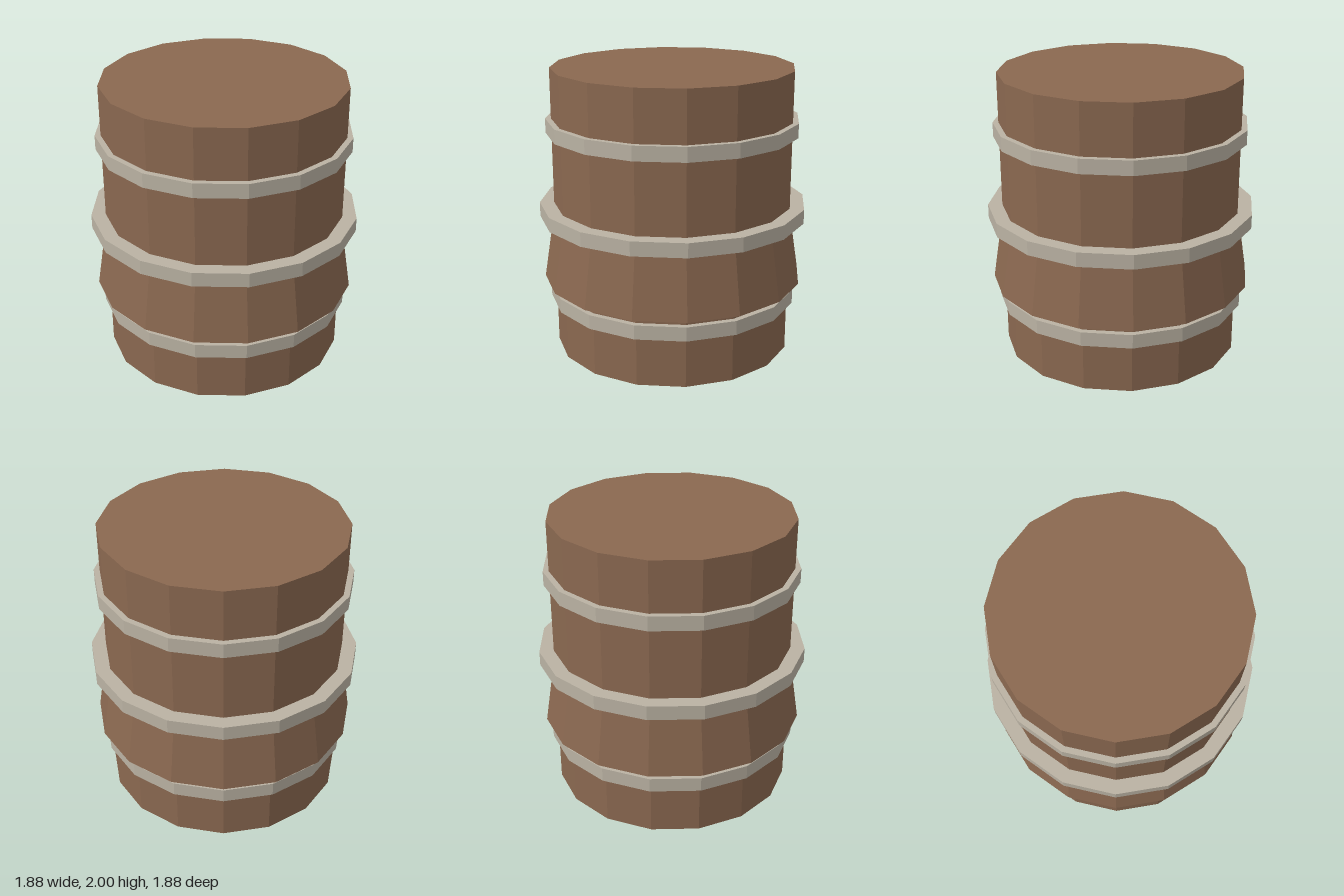
import * as THREE from 'three';

export function createModel() {
  const group = new THREE.Group();
  group.name = 'barrel';
  const wood = new THREE.MeshStandardMaterial({ name: 'brown wood', color: 0x8a6850, flatShading: true });
  const metal = new THREE.MeshStandardMaterial({ name: 'grey metal', color: 0xbab2a3, flatShading: true });
  const sides = 16;

  // Faceted drum standing between two heights
  function drum(name, material, topRadius, bottomRadius, y0, y1) {
    const geometry = new THREE.CylinderGeometry(topRadius, bottomRadius, y1 - y0, sides);
    const mesh = new THREE.Mesh(geometry, material);
    mesh.name = name;
    mesh.position.y = (y0 + y1) / 2;
    group.add(mesh);
  }

  // Straight body and the flared skirt under the middle hoop
  drum('body', wood, 0.84, 0.84, 0, 2);
  drum('flaredSkirt', wood, 0.84, 0.92, 0.5, 1);

  // Hoops
  drum('lowerHoop', metal, 0.88, 0.88, 0.35, 0.45);
  drum('middleHoop', metal, 0.94, 0.94, 0.95, 1.05);
  drum('upperHoop', metal, 0.88, 0.88, 1.55, 1.65);

  return group;
}
